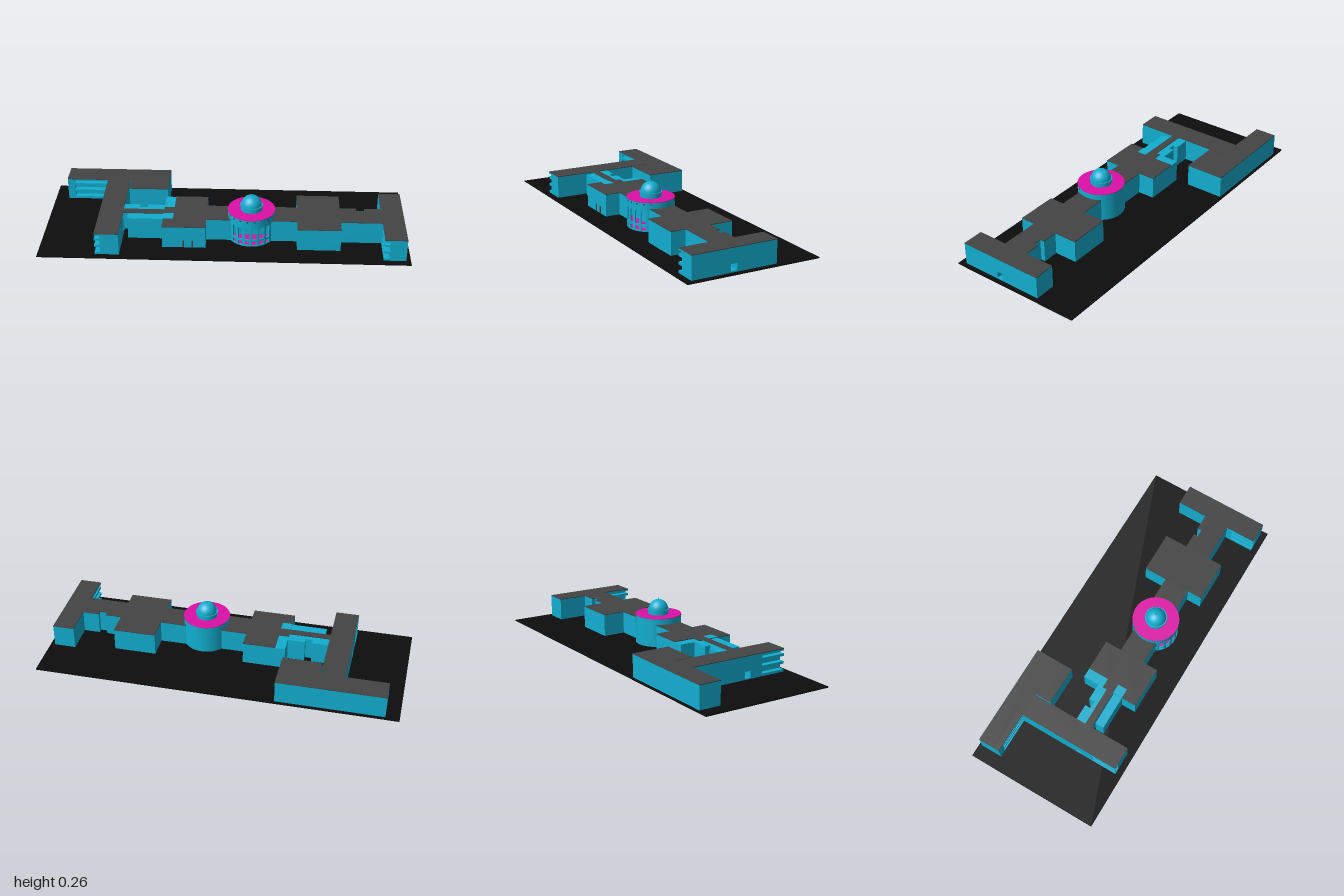
import * as THREE from 'three';

const paint = (color) => new THREE.MeshStandardMaterial({ color, side: THREE.DoubleSide });
const wall = paint(0x12aed0), roofMat = paint(0x444444), pink = paint(0xdd10a6), asphalt = paint(0x0d0d0d);
const BASE = 0.006, ROOF = 0.131, TOP = 0.135;
const FLOORS = [BASE, 0.05, 0.092, ROOF];
const PASS = [0.09, 0.125]; // z range of the passage running along the building

export function createModel() {
  const model = new THREE.Group();

  const add = (parent, name, geo, mat, x = 0, y = 0, z = 0) => {
    const mesh = new THREE.Mesh(geo, mat);
    mesh.name = name;
    mesh.position.set(x, y, z);
    parent.add(mesh);
    return mesh;
  };
  // box given by its two extreme corners
  const box = (parent, name, x0, x1, y0, y1, z0, z1, mat = wall) =>
    add(parent, name, new THREE.BoxGeometry(x1 - x0, y1 - y0, z1 - z0), mat,
      (x0 + x1) / 2, (y0 + y1) / 2, (z0 + z1) / 2);

  // three stacked storeys and a flat roof; the ground floor is split by the passage
  function block(name, x0, x1, z0, z1, { roof = true } = {}) {
    const g = new THREE.Group();
    g.name = name;
    for (let i = 0; i < 3; i++) {
      const [y0, y1] = [FLOORS[i], FLOORS[i + 1]];
      if (i === 0 && z0 < PASS[0] && z1 > PASS[1]) {
        box(g, 'groundStorey', x0, x1, y0, y1, z0, PASS[0]);
        box(g, 'groundStorey', x0, x1, y0, y1, PASS[1], z1);
        box(g, 'passageFloor', x0, x1, y0, 0.013, ...PASS);
      } else box(g, 'storey', x0, x1, y0, y1, z0, z1);
    }
    if (roof) box(g, 'roof', x0, x1, ROOF, TOP, z0, z1, roofMat);
    model.add(g);
    return g;
  }

  // balcony slabs and roof overhang filling an open corner
  function balconies(name, x0, x1, z0, z1) {
    const g = new THREE.Group();
    g.name = name;
    for (const y of FLOORS.slice(0, 3)) box(g, 'balconySlab', x0, x1, y, y + 0.014, z0, z1);
    box(g, 'balconyEave', x0, x1, 0.122, ROOF, z0, z1);
    box(g, 'balconyRoof', x0, x1, ROOF, TOP, z0, z1, roofMat);
    model.add(g);
  }

  box(model, 'ground', -1, 1, 0, BASE, -0.38, 0.38, asphalt);

  // rear right wing with a balcony front
  block('rearWingBack', -0.925, -0.335, -0.365, -0.27);
  block('rearWingEnd', -0.925, -0.885, -0.27, -0.24);
  block('rearWingFront', -0.69, -0.335, -0.27, -0.24);
  balconies('rearWingBalconies', -0.885, -0.69, -0.27, -0.24);
  block('rearWingAnnex', -0.555, -0.335, -0.24, -0.145);

  // right cross wing
  block('rightWing', -0.69, -0.56, -0.24, 0.2);
  block('rightWingFront', -0.66, -0.56, 0.2, 0.345);
  balconies('rightWingBalconies', -0.69, -0.66, 0.2, 0.345);

  // right link: roofed corridor with unroofed rooms beside it
  box(model, 'corridorUpper', -0.56, -0.335, 0.05, ROOF, 0.08, 0.12);
  box(model, 'corridorRoof', -0.56, -0.335, ROOF, TOP, 0.08, 0.12, roofMat);
  const rooms = [[-0.56, -0.47, 0.025, 0.08], [-0.47, -0.43, 0.055, 0.08],
    [-0.43, -0.335, 0.025, 0.08], [-0.53, -0.335, 0.125, 0.175]];
  for (const r of rooms) block('openRoom', ...r, { roof: false });

  // right pavilion, partly unroofed at its rear corner and front edge
  block('rightPavilionCorner', -0.335, -0.28, -0.065, 0.055, { roof: false });
  block('rightPavilionBack', -0.28, -0.1, -0.065, 0.055);
  block('rightPavilion', -0.335, -0.1, 0.055, 0.26);
  box(model, 'roofOpening', -0.335, -0.28, ROOF, TOP + 0.001, 0.12, 0.175);
  for (const x of [-0.22, -0.17]) box(model, 'doorPanel', x - 0.004, x + 0.004, BASE, 0.05, 0.26, 0.263, roofMat);

  // central hall, left pavilion, left link and left cross wing
  block('centralHall', -0.1, 0.395, 0.03, 0.175);
  block('leftPavilion', 0.395, 0.63, -0.1, 0.26);
  block('leftLink', 0.63, 0.855, 0.055, 0.175);
  block('leftLinkRoom', 0.63, 0.72, 0.03, 0.055);
  block('leftLinkRoom', 0.765, 0.855, 0.03, 0.055);
  block('leftWing', 0.855, 0.975, -0.14, 0.2);
  block('leftWingFront', 0.885, 0.975, 0.2, 0.345);
  balconies('leftWingBalconies', 0.855, 0.885, 0.2, 0.345);

  // round entrance tower
  const tower = new THREE.Group();
  tower.name = 'entranceTower';
  tower.position.set(0.145, 0, 0.11);
  model.add(tower);
  const R = 0.13;
  const shell = (name, r, y0, y1, start = 0, length = Math.PI * 2, mat = wall) =>
    add(tower, name, new THREE.CylinderGeometry(r, r, y1 - y0, 48, 1, true, start, length), mat, 0, (y0 + y1) / 2);
  for (let i = 0; i < 3; i++) shell('rearWall', R, FLOORS[i], i === 2 ? TOP : FLOORS[i + 1], 1.9, Math.PI * 2 - 3.8);
  shell('parapet', R - 0.001, TOP, 0.168);

  // arched front bays set around the curve
  const BAYS = 8, step = 2.5 / BAYS, w = R * Math.sin(step / 2);
  const bay = new THREE.Shape([[-w, BASE], [w, BASE], [w, TOP], [-w, TOP]].map((p) => new THREE.Vector2(...p)));
  const arch = new THREE.Path().moveTo(-0.012, 0.047).lineTo(-0.012, 0.11);
  arch.absarc(0, 0.11, 0.012, Math.PI, 0, true).lineTo(0.012, 0.047).closePath();
  const door = new THREE.Path([[-0.012, 0.012], [-0.012, 0.036], [0.012, 0.036], [0.012, 0.012]]
    .map((p) => new THREE.Vector2(...p)));
  bay.holes.push(arch, door);
  const bayGeo = new THREE.ExtrudeGeometry(bay, { depth: 0.008, bevelEnabled: false, curveSegments: 8 });
  bayGeo.translate(0, 0, R * Math.cos(step / 2) - 0.008);
  for (let i = 0; i < BAYS; i++) {
    const angle = (i - (BAYS - 1) / 2) * step;
    add(tower, 'archedBay', bayGeo, wall).rotation.y = angle;
    // small vents under the tower roof
    const vent = add(tower, 'parapetVent', new THREE.BoxGeometry(0.007, 0.007, 0.003), roofMat,
      Math.sin(angle) * R, 0.158, Math.cos(angle) * R);
    vent.rotation.y = angle;
  }
  const disc = (name, r, y, h) => add(tower, name, new THREE.CylinderGeometry(r, r, h, 48), pink, 0, y);
  for (const y of [0.009, 0.042]) {
    add(tower, 'porchFloor', new THREE.CylinderGeometry(0.122, 0.122, 0.004, 32, 1, false, -1.1, 2.2), pink, 0, y);
  }
  disc('porchCeiling', 0.127, 0.137, 0.003);
  disc('towerRoof', R, 0.169, 0.003);

  // dome on its ring, with a finial
  add(tower, 'domeRing', new THREE.CylinderGeometry(0.059, 0.059, 0.025, 48), wall, 0, 0.183);
  add(tower, 'domeCornice', new THREE.CylinderGeometry(0.062, 0.062, 0.003, 48), wall, 0, 0.196);
  add(tower, 'dome', new THREE.SphereGeometry(0.055, 40, 16, 0, Math.PI * 2, 0, Math.PI / 2), wall, 0, 0.197);
  const finial = [[0, 0], [0.005, 0], [0.002, 0.004], [0.0025, 0.006], [0, 0.012]].map((p) => new THREE.Vector2(...p));
  add(tower, 'finial', new THREE.LatheGeometry(finial, 12), wall, 0, 0.251);

  return model;
}
